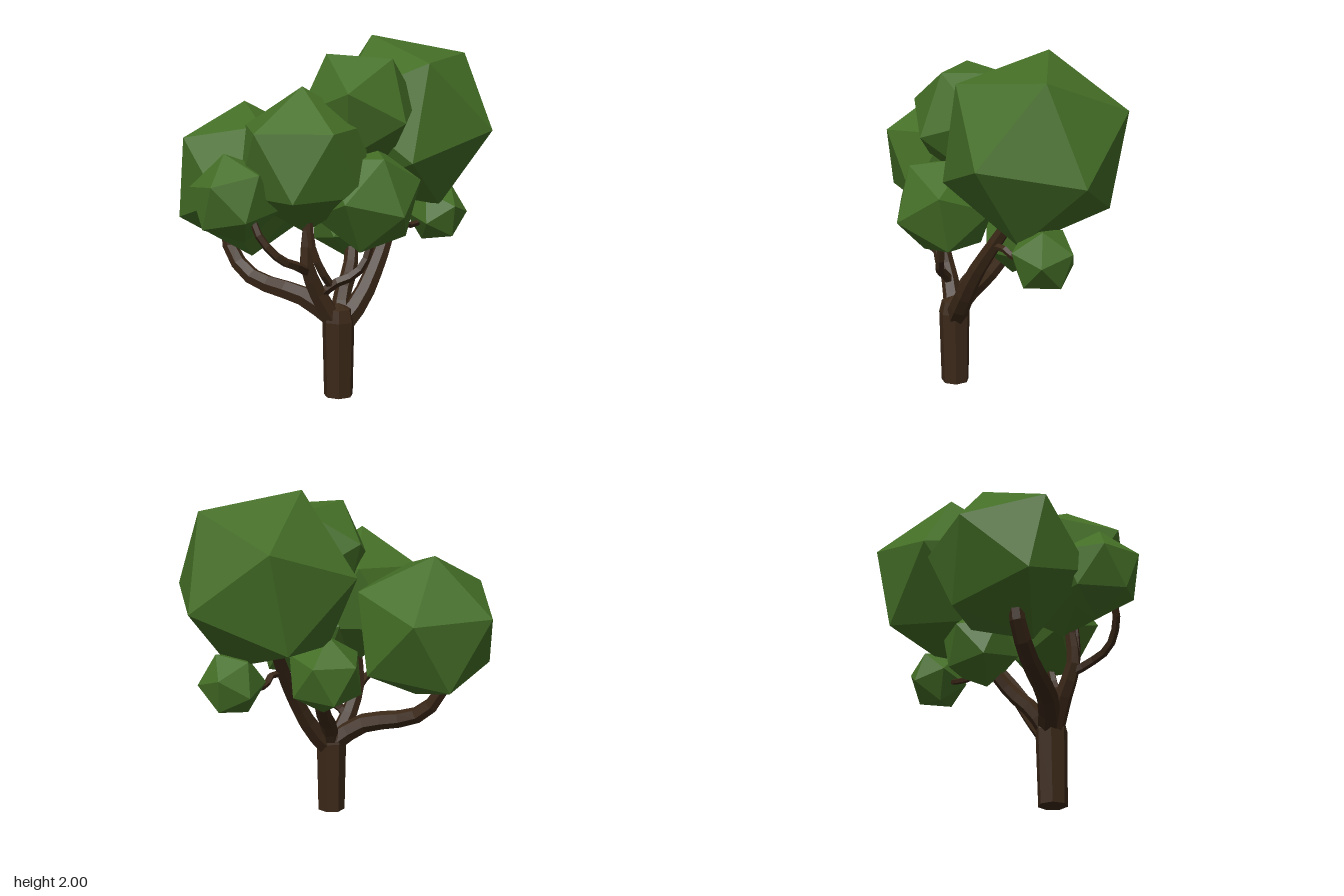
import * as THREE from 'three';

const V = (a) => new THREE.Vector3(...a);
const bark = new THREE.MeshStandardMaterial({ color: 0x3b2818, flatShading: true, side: THREE.DoubleSide });
const leaf = new THREE.MeshStandardMaterial({ color: 0x446e26, flatShading: true });

// Icosahedral leaf clump, turned so that one of its edges runs from p to q
function clump(name, centre, p, q) {
  const c = V(centre), a = V(p).sub(c), b = V(q).sub(c);
  const radius = (a.length() + b.length()) / 2;
  a.normalize();
  b.normalize();
  const x = b.clone().sub(a).normalize();
  const y = a.clone().add(b).normalize();
  const z = x.clone().cross(y);
  const mesh = new THREE.Mesh(new THREE.IcosahedronGeometry(radius, 0), leaf);
  mesh.name = name;
  mesh.quaternion.setFromRotationMatrix(new THREE.Matrix4().makeBasis(x, y, z));
  mesh.position.copy(c);
  return mesh;
}

// Tapered low-poly limb along a curve
function limb(name, points, r0, r1, sides = 6) {
  const path = new THREE.CatmullRomCurve3(points.map(V), false, 'centripetal');
  const rings = (points.length - 1) * 2;
  const geo = new THREE.TubeGeometry(path, rings, 1, sides);
  const pos = geo.attributes.position, v = new THREE.Vector3();
  for (let i = 0; i < pos.count; i++) {
    const t = Math.floor(i / (sides + 1)) / rings;
    const mid = path.getPointAt(t);
    v.fromBufferAttribute(pos, i).sub(mid).multiplyScalar(r0 + (r1 - r0) * t).add(mid);
    pos.setXYZ(i, v.x, v.y, v.z);
  }
  const mesh = new THREE.Mesh(geo, bark);
  mesh.name = name;
  return mesh;
}

export function createModel() {
  const tree = new THREE.Group();
  tree.name = 'tree';

  // Trunk with a narrowing crown where the limbs fork
  const profile = [[0, 0], [0.083, 0], [0.092, 0.43], [0.075, 0.5], [0, 0.53]];
  const trunk = new THREE.Mesh(
    new THREE.LatheGeometry(profile.map(([r, y]) => new THREE.Vector2(r, y)), 7), bark);
  trunk.name = 'trunk';
  trunk.position.set(0.008, 0, 0.293);
  tree.add(trunk);

  // Main limbs
  tree.add(
    limb('rightLimb', [[0, 0.43, 0.28], [-0.17, 0.55, 0.24], [-0.48, 0.64, 0.08], [-0.6, 0.78, 0], [-0.62, 0.92, -0.02]], 0.065, 0.04),
    limb('leftLimb', [[0.03, 0.41, 0.28], [0.13, 0.53, 0.23], [0.24, 0.75, 0.13], [0.31, 0.93, 0.02], [0.38, 1.15, -0.12]], 0.065, 0.032),
    limb('frontLimb', [[-0.02, 0.43, 0.3], [-0.11, 0.6, 0.34], [-0.17, 0.78, 0.39], [-0.16, 0.95, 0.38], [-0.19, 1.15, 0.37]], 0.06, 0.024),
    limb('backLimb', [[0.02, 0.44, 0.27], [0.03, 0.55, 0.2], [0.08, 0.68, 0.08], [0.1, 0.85, -0.05]], 0.055, 0.035));

  // Twigs
  tree.add(
    limb('leftTwig', [[0.31, 0.92, 0.02], [0.38, 0.94, -0.04], [0.42, 0.9, -0.11], [0.5, 0.9, -0.21], [0.6, 0.94, -0.28]], 0.022, 0.016, 5),
    limb('rightTwig', [[-0.16, 0.72, 0.37], [-0.21, 0.77, 0.47], [-0.31, 0.83, 0.56], [-0.42, 0.96, 0.58], [-0.47, 1.1, 0.54]], 0.028, 0.02, 5),
    limb('frontTwig', [[-0.1, 0.57, 0.33], [-0.03, 0.65, 0.36], [0.1, 0.71, 0.36], [0.17, 0.82, 0.34], [0.18, 1, 0.33]], 0.03, 0.022, 5),
    limb('innerTwig', [[-0.04, 0.65, 0.36], [-0.09, 0.74, 0.41], [-0.14, 0.87, 0.42], [-0.16, 1.12, 0.4]], 0.024, 0.018, 5));

  // Leaf clumps: centre, then two neighbouring corners
  const clumps = [
    ['largeLeftLeaves', [0.42, 1.51, -0.215], [0.22, 2.0, -0.27], [0.78, 1.9, -0.31]],
    ['largeRightLeaves', [-0.5, 1.195, -0.04], [-0.52, 1.62, -0.18], [-0.86, 1.44, 0.11]],
    ['frontLeaves', [-0.183, 1.337, 0.354], [-0.19, 1.74, 0.37], [-0.03, 1.5, 0.68]],
    ['topLeaves', [0.122, 1.609, 0.172], [-0.055, 1.905, 0.217], [0.3, 1.88, 0.3]],
    ['smallRightLeaves', [-0.555, 1.142, 0.45], [-0.605, 1.39, 0.455], [-0.79, 1.2, 0.43]],
    ['lowFrontLeaves', [0.165, 1.12, 0.31], [0.24, 1.36, 0.51], [0.04, 1.13, 0.585]],
    ['smallLeftLeaves', [0.615, 0.955, -0.285], [0.7, 1.125, -0.29], [0.8, 0.95, -0.295]],
    ['lowBackLeaves', [0.08, 0.945, -0.1], [0.09, 0.725, -0.06], [0.05, 0.8, -0.3]],
  ];
  for (const args of clumps) tree.add(clump(...args));

  return tree;
}
